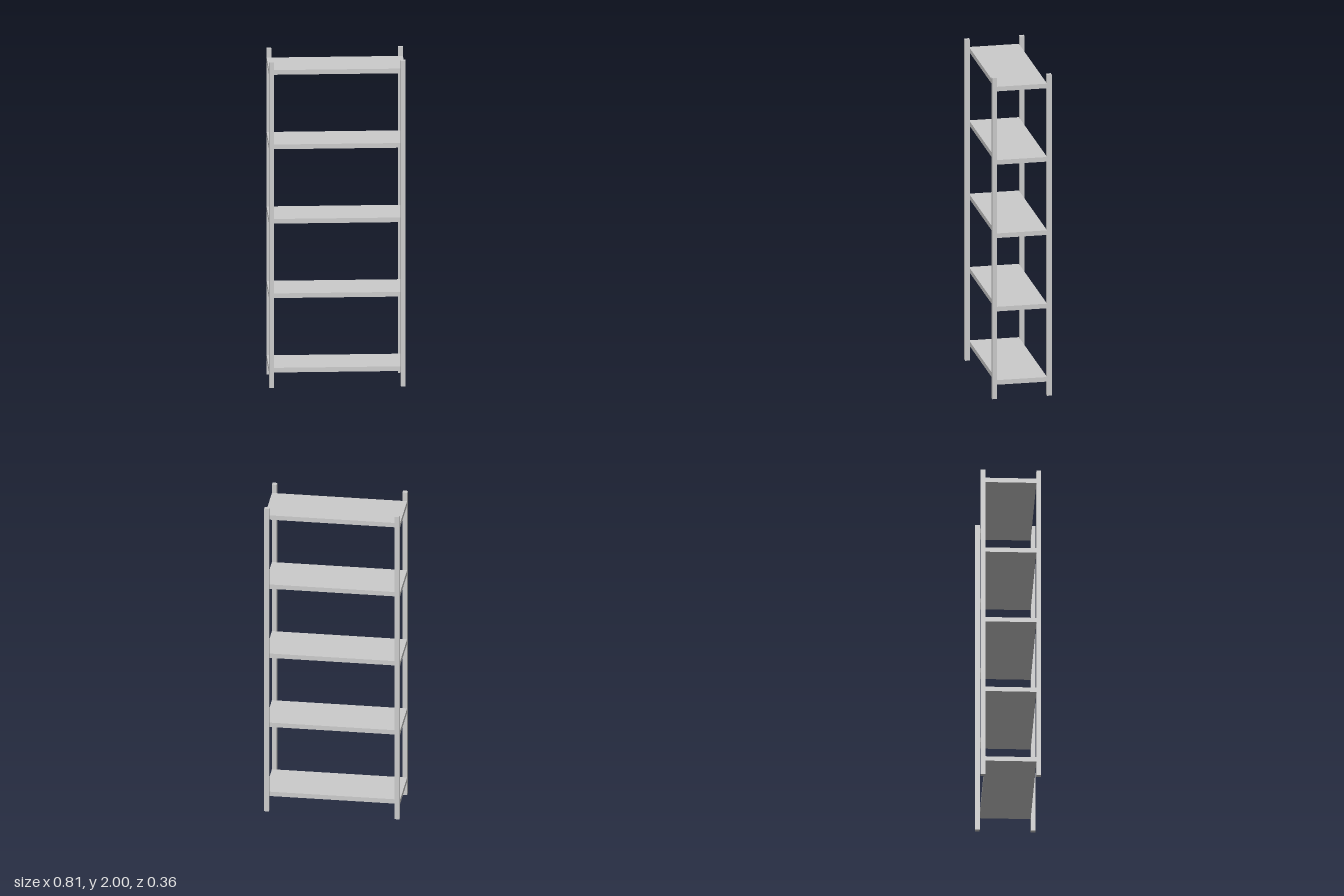
import * as THREE from 'three';

export function createModel() {
  const group = new THREE.Group();
  const material = new THREE.MeshStandardMaterial({ color: 0xcccccc });

  const height = 2, post = 0.0286;
  const halfWidth = 0.406;  // outer x of shelves and posts
  const halfDepth = 0.152;  // front and back edges of the shelves

  function box(name, w, h, d, x, y, z) {
    const mesh = new THREE.Mesh(new THREE.BoxGeometry(w, h, d), material);
    mesh.name = name;
    mesh.position.set(x, y, z);
    group.add(mesh);
  }

  // Four square posts, standing against the shelves' front and back edges
  for (const [side, sx] of [['Left', 1], ['Right', -1]]) {
    for (const [end, sz] of [['front', 1], ['back', -1]]) {
      box(`${end}${side}Post`, post, height, post,
        sx * (halfWidth - post / 2), height / 2, sz * (halfDepth + post / 2));
    }
  }

  // Five evenly spaced shelves
  for (let i = 0; i < 5; i++) {
    box(`shelf${i + 1}`, 2 * halfWidth, 0.0286, 2 * halfDepth, 0, 0.103 + i * 0.457, 0);
  }

  return group;
}
